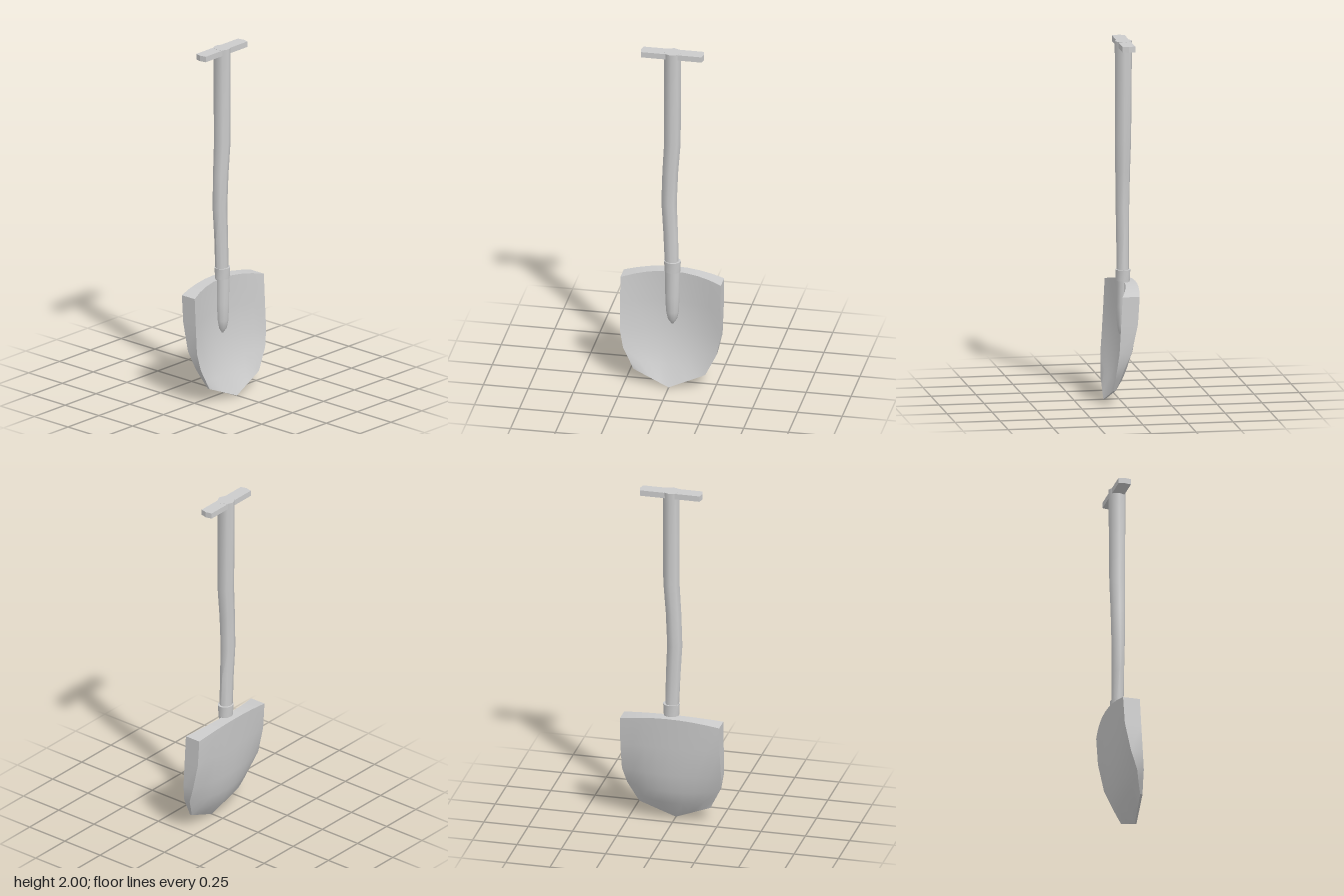
import * as THREE from 'three';
import { toCreasedNormals } from 'three/addons/utils/BufferGeometryUtils.js';

const steel = new THREE.MeshStandardMaterial({ color: 0xcccccc });
steel.name = 'grey';

function part(name, geometry, crease) {
  const mesh = new THREE.Mesh(toCreasedNormals(geometry, crease), steel);
  mesh.name = name;
  return mesh;
}

// Stack of elliptical sections from top to bottom: [y, centre x, centre z, radius x, radius z]
function loft(sections, sides) {
  const g = new THREE.CylinderGeometry(1, 1, 1, sides, sections.length - 1);
  const p = g.attributes.position;
  for (let i = 0; i < p.count; i++) {
    const row = Math.round((0.5 - p.getY(i)) * (sections.length - 1));
    const [y, cx, cz, rx, rz] = sections[row];
    p.setXYZ(i, cx + p.getX(i) * rx, y, cz + p.getZ(i) * rz);
  }
  return g;
}

// Dished solid blade: front and back grids joined by a rim
function bladeGeometry() {
  // half width, edge y, middle y, front z (edge, middle), back z (edge, middle)
  const rows = [
    [0.28, 0.625, 0.66, 0.03, -0.025, -0.065, -0.09],
    [0.28, 0.47, 0.48, 0.038, -0.028, -0.055, -0.075],
    [0.28, 0.31, 0.31, 0.047, -0.018, -0.02, -0.06],
    [0.26, 0.21, 0.2, 0.058, 0.01, 0.02, -0.035],
    [0.23, 0.15, 0.12, 0.062, 0.035, 0.036, -0.004],
    [0.2, 0.09, 0.005, 0.067, 0.087, 0.054, 0.078],
  ];
  const cols = 9, last = rows.length - 1;
  const pos = [], index = [];
  for (const side of [0, 1]) {
    rows.forEach(([w, ye, ym, fe, fm, be, bm], r) => {
      for (let c = 0; c < cols; c++) {
        const t = (c / (cols - 1)) * 2 - 1;
        const f = r === last ? 1 - Math.abs(t) : 1 - t * t;
        const z = side ? be + (bm - be) * f : fe + (fm - fe) * f;
        pos.push(t * w, ye + (ym - ye) * f, z);
      }
    });
  }
  const n = rows.length * cols;
  const quad = (a, b, c, d) => index.push(a, b, c, a, c, d);
  for (let r = 0; r < last; r++) {
    for (let c = 0; c < cols - 1; c++) {
      const a = r * cols + c, b = a + cols;
      quad(a, b, b + 1, a + 1);
      quad(n + a, n + a + 1, n + b + 1, n + b);
    }
  }
  // Rim, walked anticlockwise as seen from the front
  const rim = [];
  for (let r = 0; r < last; r++) rim.push(r * cols);
  for (let c = 0; c < cols - 1; c++) rim.push(last * cols + c);
  for (let r = last; r > 0; r--) rim.push(r * cols + cols - 1);
  for (let c = cols - 1; c > 0; c--) rim.push(c);
  rim.forEach((a, i) => {
    const b = rim[(i + 1) % rim.length];
    quad(a, a + n, b + n, b);
  });
  const g = new THREE.BufferGeometry();
  g.setAttribute('position', new THREE.Float32BufferAttribute(pos, 3));
  g.setIndex(index);
  return g;
}

// Flat crossbar with blunt pointed ends
function gripGeometry() {
  const outline = [[-0.168, -0.01], [0.168, -0.01], [0.176, 0.025], [0.168, 0.06], [-0.168, 0.06], [-0.176, 0.025]];
  const shape = new THREE.Shape(outline.map(([x, y]) => new THREE.Vector2(x, y)));
  const g = new THREE.ExtrudeGeometry(shape, { depth: 0.032, bevelEnabled: false });
  g.rotateX(-Math.PI / 2);
  g.translate(0, 1.967, 0);
  return g;
}

export function createModel() {
  const group = new THREE.Group();
  group.name = 'shovel';

  group.add(part('blade', bladeGeometry(), 0.7));
  group.add(part('grip', gripGeometry(), 0.4));

  // Gently bent eight-sided shaft
  group.add(part('shaft', loft([
    [2, 0, -0.024, 0.047, 0.048],
    [1.45, 0, -0.022, 0.046, 0.045],
    [1.27, -0.012, -0.022, 0.044, 0.041],
    [1.08, -0.019, -0.022, 0.043, 0.038],
    [0.9, -0.01, -0.021, 0.041, 0.035],
    [0.6, 0, -0.021, 0.038, 0.034],
  ], 8), 0.9));

  // Collar where the shaft enters the blade
  group.add(part('collar', loft([
    [0.727, 0, -0.021, 0.047, 0.042],
    [0.665, 0, -0.021, 0.044, 0.039],
  ], 12), 0.9));

  // Socket tapering into the blade face
  group.add(part('socket', loft([
    [0.67, 0, -0.021, 0.042, 0.037],
    [0.52, 0, -0.021, 0.04, 0.037],
    [0.42, 0, -0.021, 0.036, 0.033],
    [0.375, 0, -0.021, 0.026, 0.024],
    [0.345, 0, -0.023, 0.006, 0.006],
  ], 12), 0.9));

  return group;
}
